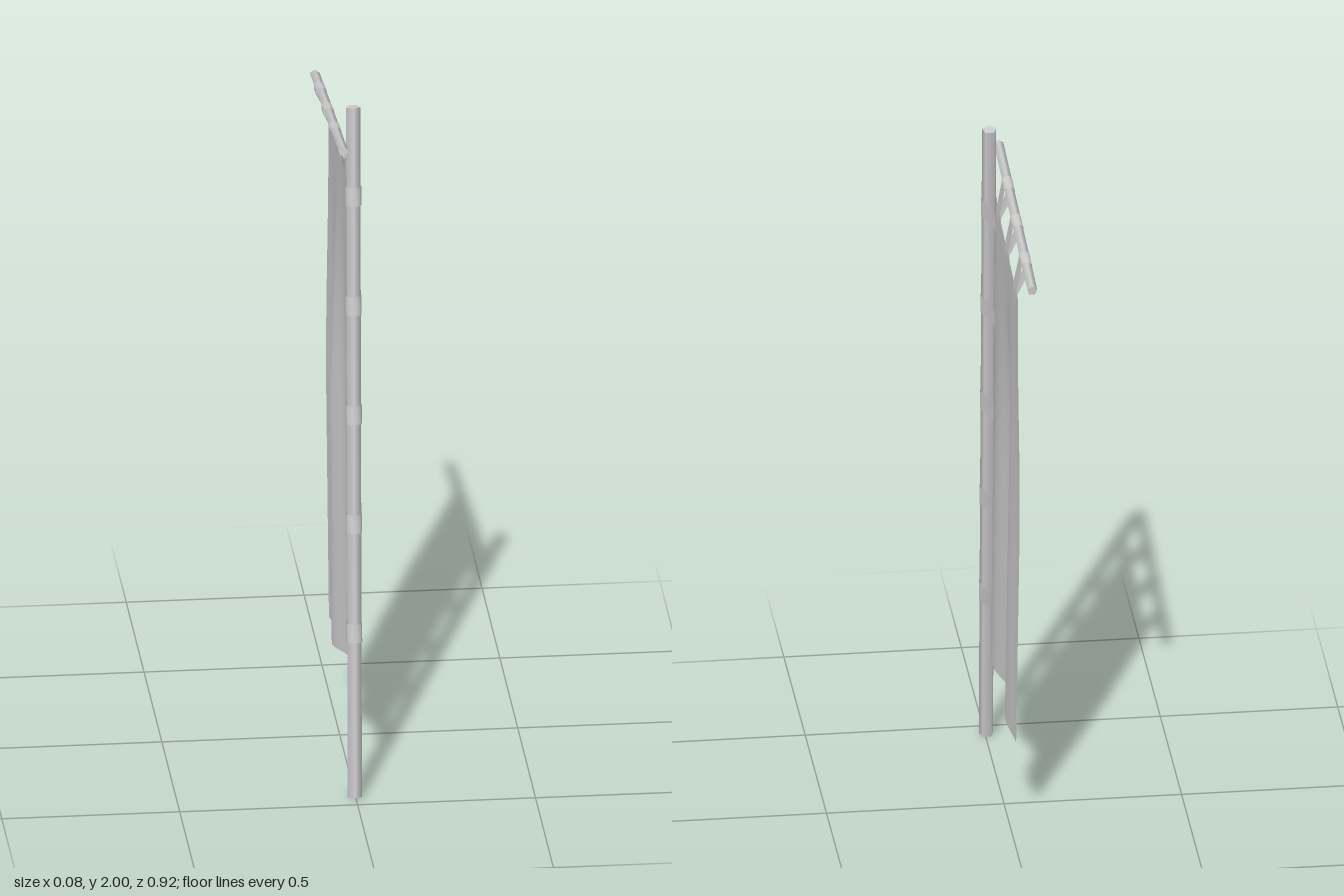
import * as THREE from 'three';

const V = (x, y, z) => new THREE.Vector3(x, y, z);
const wood = new THREE.MeshStandardMaterial({ color: 0xcccccc });
const fabric = new THREE.MeshStandardMaterial({ color: 0xcccccc, side: THREE.DoubleSide });

// End points and radii of the two rods
const POLE = { a: V(-0.003, 0.002, 0.445), b: V(0.016, 1.998, 0.21), r: 0.021 };
const BAR = { a: V(-0.021, 1.904, 0.305), b: V(-0.025, 1.816, -0.455), r: 0.0145 };

// Fold profile across the hanging cloth (position 0..1 from pole edge, x offset)
const folds = new THREE.SplineCurve([
  [0, -0.003], [0.2, 0.006], [0.42, -0.03], [0.7, 0.004], [1, -0.012],
].map(([s, x]) => new THREE.Vector2(s, x)));

// Point on the cloth: s runs away from the pole, t runs down
function clothPoint(s, t) {
  const depth = THREE.MathUtils.smoothstep(t, 0, 0.55);
  const x = THREE.MathUtils.lerp(0.003, folds.getPoint(s).y, depth);
  return V(x, 1.8 - 0.06 * s - 1.46 * t, 0.165 - 0.52 * s + 0.17 * t);
}

// Smooth sheet from a grid function
function sheet(name, cols, rows, pointAt) {
  const geo = new THREE.PlaneGeometry(1, 1, cols, rows);
  const pos = geo.attributes.position;
  for (let j = 0, k = 0; j <= rows; j++) {
    for (let i = 0; i <= cols; i++, k++) pos.setXYZ(k, ...pointAt(i, j).toArray());
  }
  geo.computeVertexNormals();
  const mesh = new THREE.Mesh(geo, fabric);
  mesh.name = name;
  return mesh;
}

// Five-sided rod between two points
function rod(name, { a, b, r }) {
  const dir = b.clone().sub(a);
  const mesh = new THREE.Mesh(new THREE.CylinderGeometry(r, r, dir.length(), 5), wood);
  mesh.name = name;
  mesh.position.copy(a).lerp(b, 0.5);
  mesh.quaternion.setFromUnitVectors(V(0, 1, 0), dir.normalize());
  return mesh;
}

// Fabric loop round a rod, with both tails stitched onto the cloth
function strap(name, { a, b, r }, edge, inner, width) {
  const axis = b.clone().sub(a).normalize();
  const centre = new THREE.Line3(a, b).closestPointToPoint(edge, false, V());
  const out = edge.clone().sub(centre).normalize();
  const side = axis.clone().cross(out).normalize();
  const path = [];
  const tail = (p, sign) => path.push(p.clone().addScaledVector(side, sign * 0.003));
  tail(inner, 1);
  tail(edge, 1);
  for (let i = 0; i <= 10; i++) {
    const ang = THREE.MathUtils.lerp(Math.PI / 3, Math.PI * 5 / 3, i / 10);
    path.push(centre.clone()
      .addScaledVector(out, Math.cos(ang) * r * 1.08)
      .addScaledVector(side, Math.sin(ang) * r * 1.08));
  }
  tail(edge, -1);
  tail(inner, -1);
  return sheet(name, path.length - 1, 1,
    (i, j) => path[i].clone().addScaledVector(axis, (j - 0.5) * width));
}

export function createModel() {
  const model = new THREE.Group();
  model.name = 'banner';
  model.add(rod('pole', POLE), rod('crossbar', BAR));

  // Hanging cloth
  model.add(sheet('cloth', 24, 24, (i, j) => clothPoint(i / 24, j / 24)));

  // Loops along the pole
  for (let i = 0; i < 5; i++) {
    const t = 0.045 + i * 0.2165;
    model.add(strap('poleStrap', POLE, clothPoint(0, t), clothPoint(0.07, t), 0.055));
  }

  // Loops along the crossbar
  for (const s of [0.13, 0.5, 0.88]) {
    model.add(strap('barStrap', BAR, clothPoint(s, 0), clothPoint(s, 0.025), 0.058));
  }
  return model;
}
